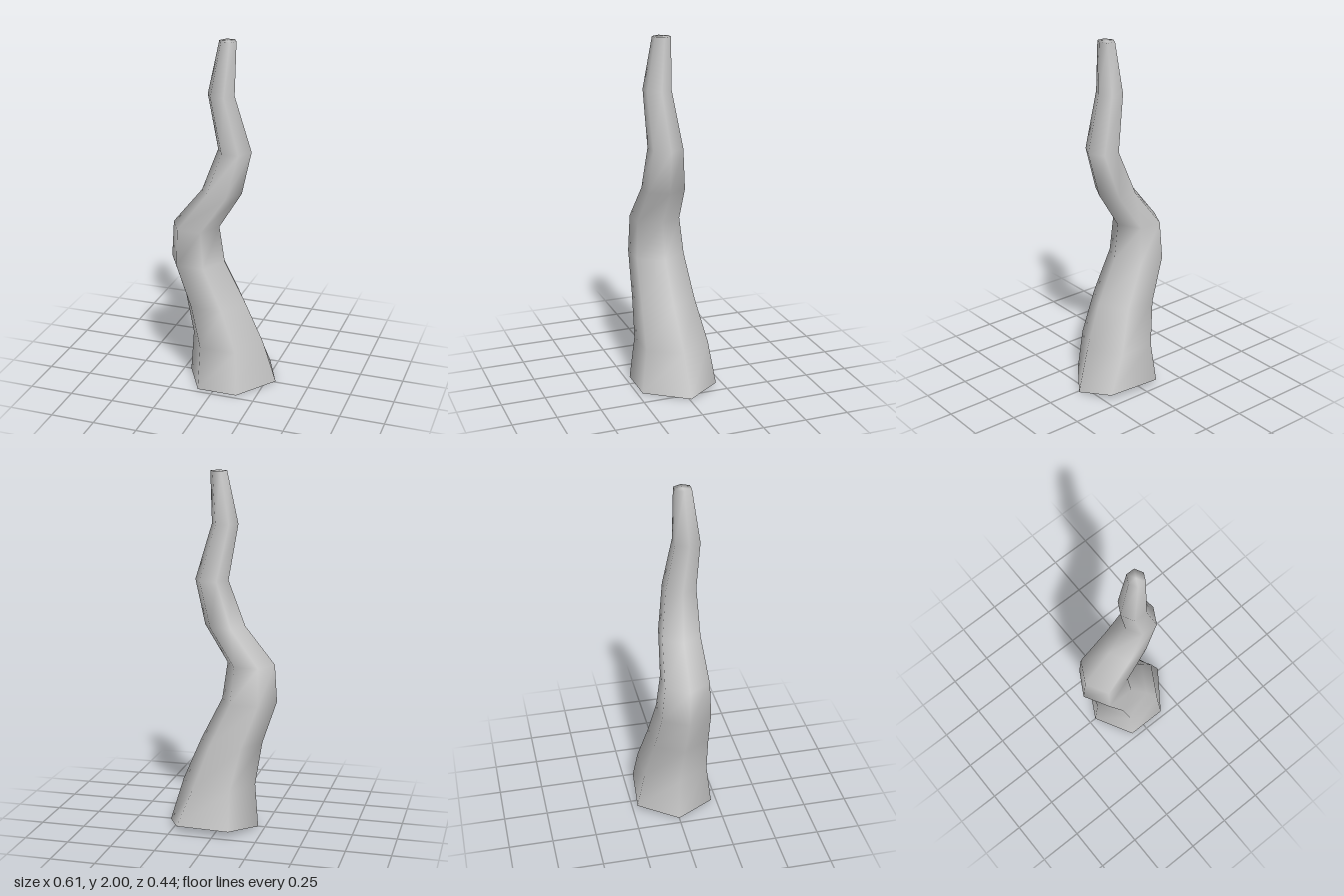
import * as THREE from 'three';
import { mergeVertices } from 'three/addons/utils/BufferGeometryUtils.js';

const SIDES = 6;

// Cross-sections from the ground up: y, min x, max x, min z, max z
const sections = [
  [0.25, -0.19, 0.23, -0.18, 0.19],
  [0.49, -0.225, 0.13, -0.13, 0.185],
  [0.73, -0.305, 0.01, -0.105, 0.175],
  [0.94, -0.29, -0.02, -0.085, 0.165],
  [1.15, -0.12, 0.11, -0.065, 0.148],
  [1.40, -0.02, 0.17, -0.028, 0.143],
  [1.71, -0.07, 0.08, 0.01, 0.148],
  [2.0, -0.01, 0.085, 0.02, 0.11],
];

// Uneven foot ring, lifted slightly at the back
const foot = [
  [0.305, 0, -0.01], [0.14, 0, 0.22], [-0.09, 0, 0.22],
  [-0.21, 0, 0], [-0.09, 0.035, -0.225], [0.215, 0.03, -0.195],
];

// Six-sided ring filling the given bounds
function ring([y, x0, x1, z0, z1]) {
  const points = [];
  for (let i = 0; i < SIDES; i++) {
    const a = (i / SIDES) * Math.PI * 2;
    points.push([
      (x0 + x1) / 2 + Math.cos(a) * (x1 - x0) / 2,
      y,
      (z0 + z1) / 2 + Math.sin(a) * (z1 - z0) / 2 / Math.sin(Math.PI / 3),
    ]);
  }
  return points;
}

// Fan from the middle of a ring
function fan(points, up) {
  const mid = [0, 1, 2].map((k) => points.reduce((s, p) => s + p[k], 0) / SIDES);
  const out = [];
  points.forEach((p, i) => {
    const q = points[(i + 1) % SIDES];
    out.push(...(up ? [mid, q, p] : [mid, p, q]));
  });
  return out;
}

function smoothMesh(name, corners, material) {
  let geometry = new THREE.BufferGeometry();
  geometry.setAttribute('position', new THREE.Float32BufferAttribute(corners.flat(), 3));
  geometry = mergeVertices(geometry);
  geometry.computeVertexNormals();
  const mesh = new THREE.Mesh(geometry, material);
  mesh.name = name;
  return mesh;
}

export function createModel() {
  const group = new THREE.Group();
  group.name = 'twistedStalk';
  const material = new THREE.MeshStandardMaterial({ color: 0xcccccc });
  const rings = [foot, ...sections.map(ring)];

  // Bent, tapering stalk with its small tip closed
  const corners = [];
  for (let r = 0; r < rings.length - 1; r++) {
    for (let i = 0; i < SIDES; i++) {
      const j = (i + 1) % SIDES;
      const a = rings[r][i], b = rings[r][j];
      const c = rings[r + 1][j], d = rings[r + 1][i];
      corners.push(a, d, b, b, d, c);
    }
  }
  corners.push(...fan(rings[rings.length - 1], true));
  group.add(smoothMesh('stalk', corners, material));

  // Underside
  group.add(smoothMesh('base', fan(foot, false), material));
  return group;
}
